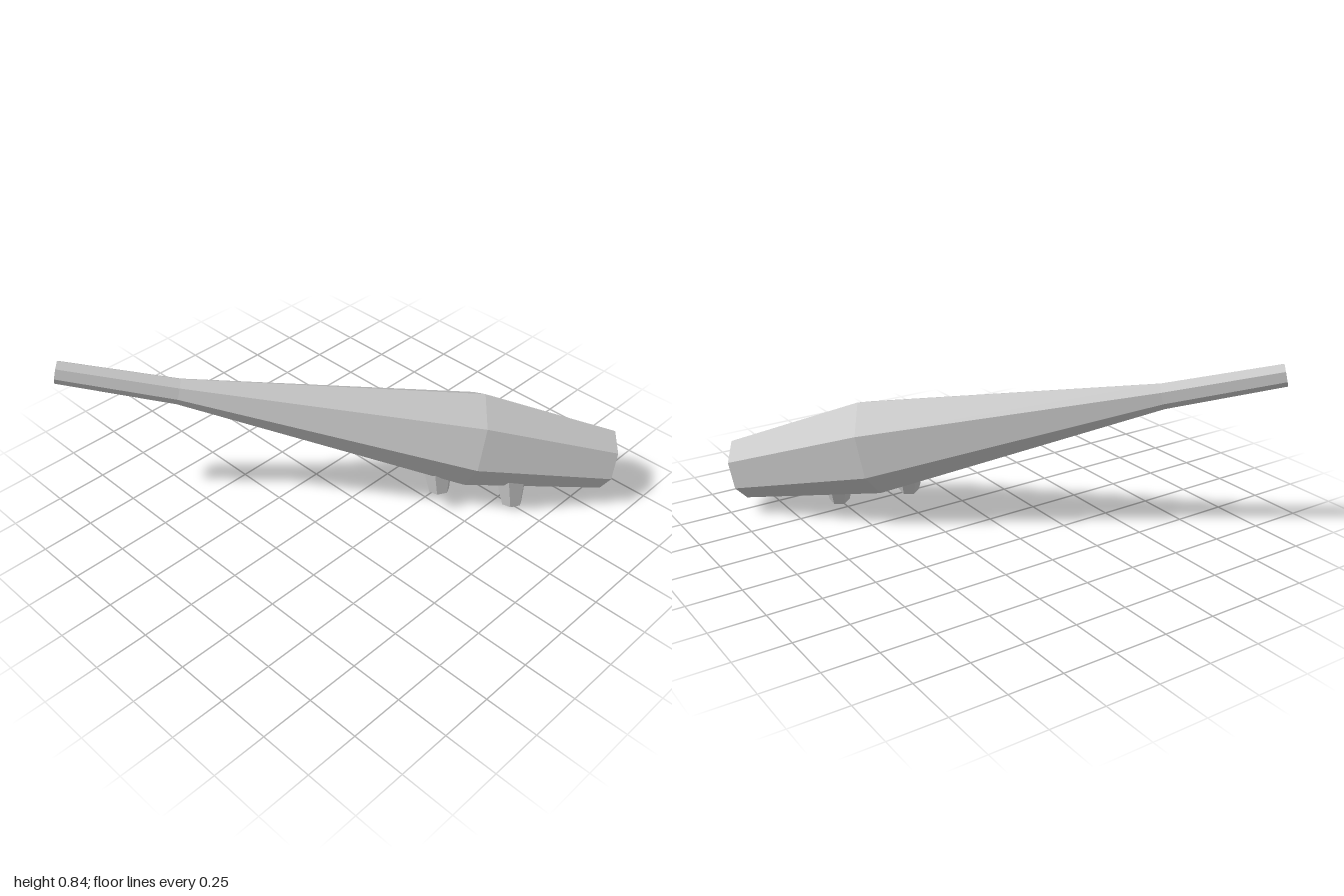
import * as THREE from 'three';

export function createModel() {
  const model = new THREE.Group();
  const grey = new THREE.MeshStandardMaterial({ color: 0xc4c4c4, flatShading: true });
  grey.name = 'grey';

  // Tilted axis running from the thick front end to the thin tail
  const front = new THREE.Vector3(0.903, 0.195, 0.814);
  const tail = new THREE.Vector3(-0.964, 0.795, -0.876);
  const axis = tail.clone().sub(front);
  const length = axis.length();
  axis.normalize();
  const side = new THREE.Vector3().crossVectors(axis, new THREE.Vector3(0, 1, 0)).normalize();
  const up = new THREE.Vector3().crossVectors(side, axis);

  // Seven-sided tapering body: radius and position along the axis
  const profile = [[0, 0], [0.148, 0], [0.23, 0.259], [0.061, 0.791], [0.053, 1], [0, 1]]
    .map(([r, t]) => new THREE.Vector2(r, t * length));
  const turn = THREE.MathUtils.degToRad(7.5);
  const body = new THREE.Mesh(new THREE.LatheGeometry(profile, 7, turn, Math.PI * 2), grey);
  body.name = 'body';
  body.quaternion.setFromRotationMatrix(new THREE.Matrix4().makeBasis(side, axis, up));
  body.position.copy(front);
  model.add(body);

  // Two tapered pegs under the body, widening upwards into it
  const pegUp = new THREE.Vector3(0.11, 0.97, -0.21).normalize();
  const pegLength = 0.2;
  const pegFeet = { frontPeg: [0.503, 0.015, 0.582], rearPeg: [0.25, 0.1, 0.335] };
  for (const [name, foot] of Object.entries(pegFeet)) {
    const peg = new THREE.Mesh(new THREE.CylinderGeometry(0.088, 0.049, pegLength, 6), grey);
    peg.name = name;
    peg.quaternion.setFromUnitVectors(new THREE.Vector3(0, 1, 0), pegUp);
    peg.position.set(...foot).addScaledVector(pegUp, pegLength / 2);
    model.add(peg);
  }
  return model;
}
